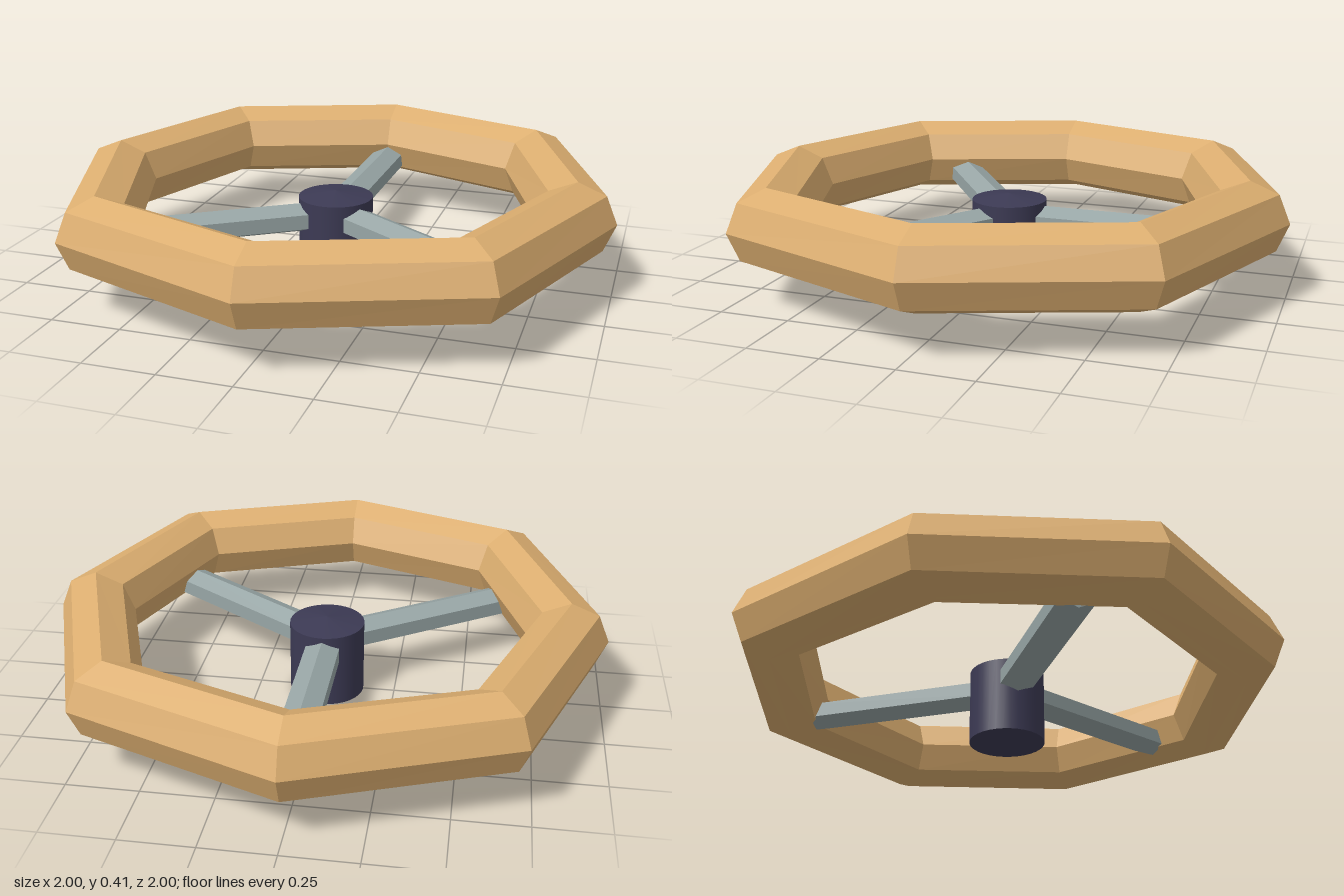
import * as THREE from 'three';

const RIM_Y = 0.265;

function part(name, geometry, color, flatShading) {
  const mesh = new THREE.Mesh(geometry, new THREE.MeshStandardMaterial({ color, flatShading }));
  mesh.name = name;
  return mesh;
}

// Eight-sided ring, with its diagonal corners pushed out slightly
function rimGeometry() {
  const g = new THREE.TorusGeometry(0.86, 0.14, 8, 8).rotateX(Math.PI / 2);
  const p = g.attributes.position;
  for (let i = 0; i < p.count; i++) {
    const x = p.getX(i), z = p.getZ(i);
    const r = Math.hypot(x, z);
    const diagonal = Math.abs(Math.sin(2 * Math.atan2(z, x)));
    const k = (r + 0.028 * diagonal) / r;
    p.setXYZ(i, x * k, p.getY(i), z * k);
  }
  return g.translate(0, RIM_Y, 0);
}

// Flattened hexagonal bar running out along +x, ridge upwards
function spokeGeometry(start, end) {
  return new THREE.CylinderGeometry(0.07, 0.07, end - start, 6)
    .rotateZ(-Math.PI / 2)
    .rotateX(-Math.PI / 2)
    .scale(1, 0.76, 1)
    .translate((start + end) / 2, 0.2, 0);
}

export function createModel() {
  const model = new THREE.Group();
  model.name = 'steeringWheel';

  model.add(part('rim', rimGeometry(), 0xdcae70, true));

  // Hub column with a very shallow crown
  const hub = new THREE.Group();
  hub.name = 'hub';
  const barrel = part('hubBarrel', new THREE.CylinderGeometry(0.135, 0.135, 0.27, 32), 0x3c3a54, false);
  barrel.position.y = 0.135;
  const crown = part('hubCrown', new THREE.ConeGeometry(0.135, 0.02, 32, 1, true), 0x3c3a54, false);
  crown.position.y = 0.28;
  hub.add(barrel, crown);
  model.add(hub);

  // One spoke to the back, two splayed to the front
  const splay = Math.atan2(2, 3);
  [Math.PI / 2, -splay, Math.PI + splay].forEach((angle, i) => {
    const spoke = part(['backSpoke', 'leftSpoke', 'rightSpoke'][i], spokeGeometry(0.05, 0.76), 0x98a6a6, true);
    spoke.rotation.y = angle;
    model.add(spoke);
  });

  return model;
}
